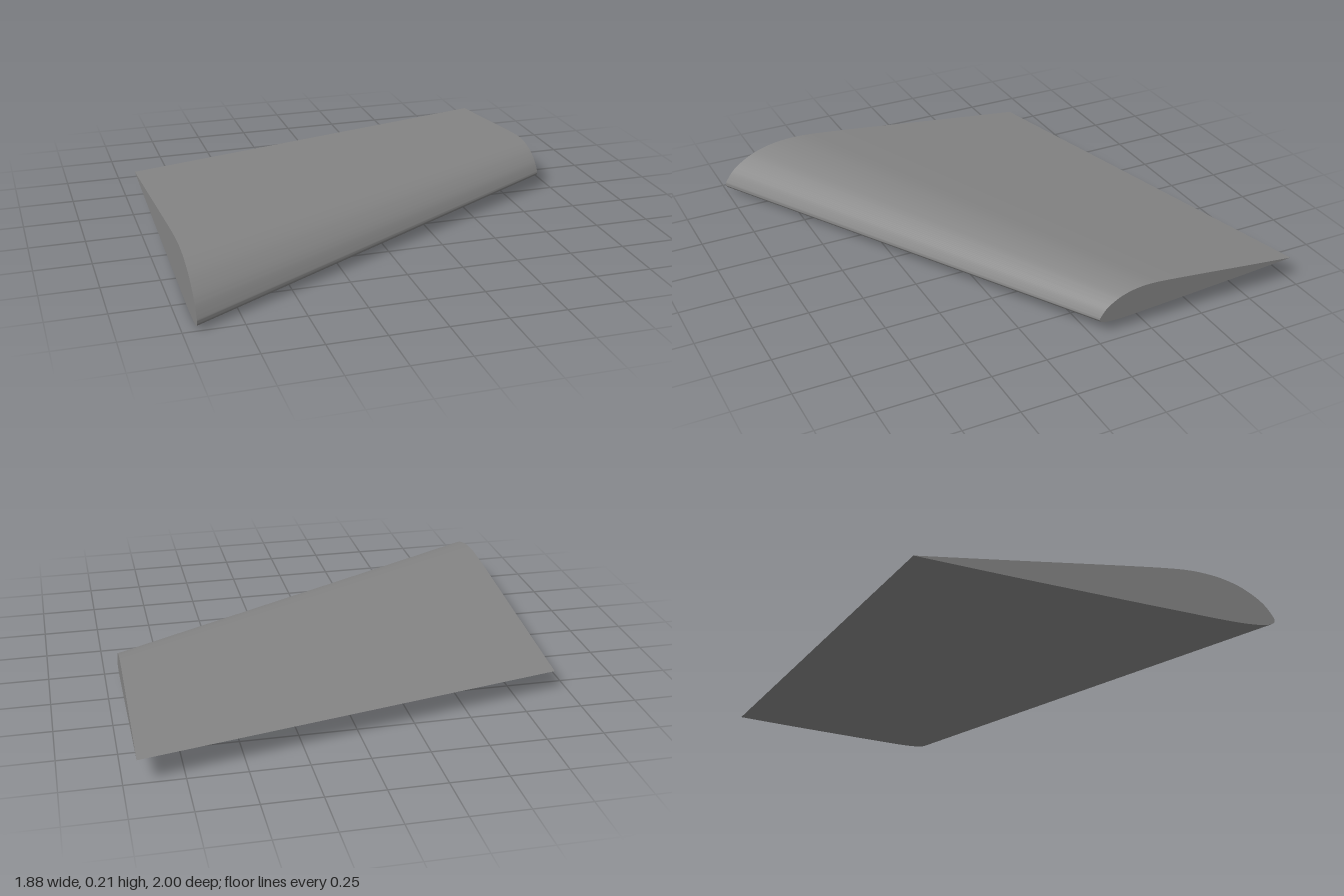
import * as THREE from 'three';
import { toCreasedNormals } from 'three/addons/utils/BufferGeometryUtils.js';

// Aerofoil for a chord of 1: s runs from the leading to the trailing edge, h is height
const upper = [[0.75, 0.0845], [0.55, 0.107], [0.4, 0.1235], [0.31, 0.1325], [0.25, 0.1363],
  [0.2, 0.1345], [0.15, 0.127], [0.1, 0.1115], [0.06, 0.09], [0.03, 0.067], [0.01, 0.042]];
const nose = [[0, 0.023], [0.006, 0.012], [0.02, 0.006]];
const lower = [[0.05, 0.0015], [0.1, 0], [0.16, 0.002], [0.25, 0.0072], [0.4, 0.0162],
  [0.55, 0.0258], [0.75, 0.0388], [1, 0.057]];

// The two ends of the wing: x, z of leading edge, lowest y, chord
const root = { x: -0.94, z: 1, y: 0, chord: 1.575 };
const tip = { x: 0.94, z: -0.03, y: 0.05, chord: 0.97 };

export function createModel() {
  const group = new THREE.Group();
  group.name = 'wing';

  const section = new THREE.Shape();
  section.moveTo(1, 0.057);
  section.splineThru([...upper, ...nose, ...lower].map(([s, h]) => new THREE.Vector2(s, h)));

  // Extrude the section along the span, then taper and sweep it
  const geometry = new THREE.ExtrudeGeometry(section, { depth: 1, steps: 1, curveSegments: 5, bevelEnabled: false });
  const p = geometry.attributes.position;
  for (let i = 0; i < p.count; i++) {
    const s = p.getX(i), h = p.getY(i), t = p.getZ(i);
    const at = (key) => THREE.MathUtils.lerp(root[key], tip[key], t);
    p.setXYZ(i, at('x'), at('y') + h * at('chord'), at('z') - s * at('chord'));
  }

  const panel = new THREE.Mesh(
    toCreasedNormals(geometry, 0.7),
    new THREE.MeshStandardMaterial({ color: 0x848484 })
  );
  panel.name = 'wingPanel';
  group.add(panel);
  return group;
}
